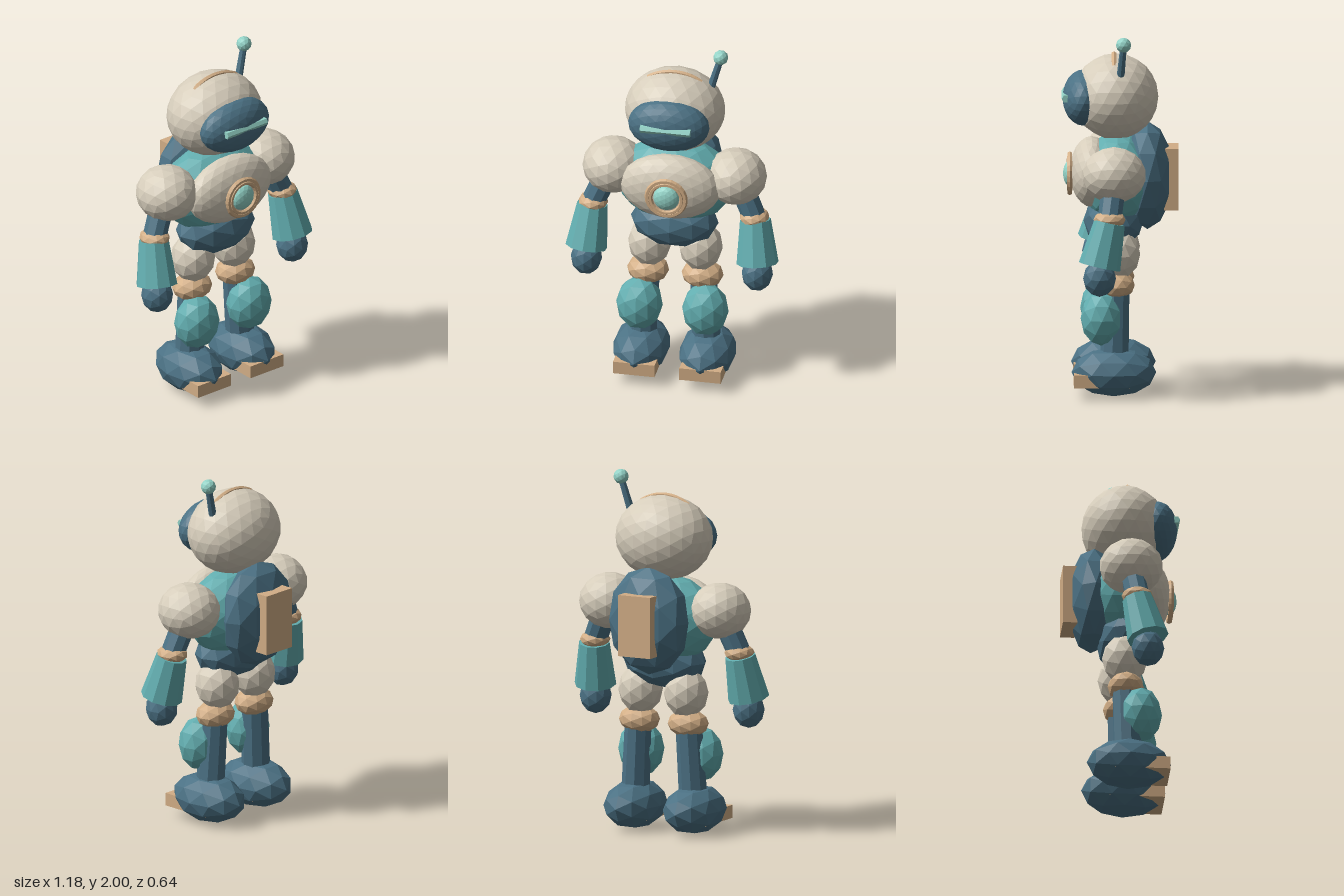
import * as THREE from 'three';

const makeMaterial = (name, color) => {
  const m = new THREE.MeshStandardMaterial({ color, flatShading: true });
  m.name = name;
  return m;
};

export function createModel() {
  const cream = makeMaterial('cream shell', 0xd6cdbb);
  const blue = makeMaterial('slate blue', 0x4b7184);
  const teal = makeMaterial('teal', 0x62adaf);
  const tan = makeMaterial('tan trim', 0xd2ae86);
  const mint = makeMaterial('pale mint', 0x93d3c7);

  const robot = new THREE.Group();
  robot.name = 'robot';

  const add = (parent, name, geometry, material, pos = [0, 0, 0]) => {
    const mesh = new THREE.Mesh(geometry, material);
    mesh.name = name;
    mesh.position.set(...pos);
    parent.add(mesh);
    return mesh;
  };
  // Faceted ellipsoid
  const blob = (parent, name, material, pos, radii, detail = 1) =>
    add(parent, name, new THREE.IcosahedronGeometry(1, detail).scale(...radii), material, pos);
  // Tapered rod between two points
  const rod = (parent, name, material, from, to, rFrom, rTo, sides) => {
    const a = new THREE.Vector3(...from), b = new THREE.Vector3(...to);
    const dir = b.clone().sub(a);
    const geometry = new THREE.CylinderGeometry(rTo, rFrom, dir.length(), sides);
    const mesh = add(parent, name, geometry, material, a.add(b).multiplyScalar(0.5).toArray());
    mesh.quaternion.setFromUnitVectors(new THREE.Vector3(0, 1, 0), dir.normalize());
    return mesh;
  };

  // Head with visor, crest and antenna
  const head = new THREE.Group();
  head.name = 'head';
  robot.add(head);
  blob(head, 'helmet', cream, [0, 1.637, 0.025], [0.278, 0.235, 0.235], 3);
  blob(head, 'visor', blue, [0, 1.63, 0.2], [0.227, 0.152, 0.115], 3);
  rod(head, 'eyeBar', mint, [-0.14, 1.645, 0.298], [0.14, 1.645, 0.298], 0.022, 0.022, 6);
  const crestArc = 1.2;
  const crest = add(head, 'crest', new THREE.TorusGeometry(0.26, 0.015, 6, 14, crestArc), tan, [0, 1.608, 0.033]);
  crest.rotation.z = (Math.PI - crestArc) / 2;
  rod(head, 'antennaRod', blue, [0.19, 1.76, 0], [0.246, 1.955, -0.018], 0.022, 0.018, 8);
  blob(head, 'antennaTip', mint, [0.246, 1.96, -0.018], [0.042, 0.042, 0.042], 1);

  // Torso, chest and pelvis
  const body = new THREE.Group();
  body.name = 'body';
  robot.add(body);
  blob(body, 'torso', teal, [0, 1.19, 0.015], [0.33, 0.25, 0.2], 2);
  blob(body, 'chestPlate', cream, [0, 1.22, 0.155], [0.28, 0.192, 0.12], 3);
  add(body, 'chestRingOuter', new THREE.TorusGeometry(0.106, 0.015, 6, 24), tan, [0, 1.21, 0.275]);
  add(body, 'chestRingInner', new THREE.TorusGeometry(0.088, 0.013, 6, 24), tan, [0, 1.21, 0.28]);
  blob(body, 'chestLight', mint, [0, 1.21, 0.27], [0.073, 0.073, 0.042], 2);
  blob(body, 'pelvis', blue, [0, 0.95, 0.035], [0.245, 0.15, 0.165]);

  // Backpack
  blob(body, 'backpack', blue, [0, 1.2, -0.15], [0.245, 0.3, 0.14]);
  add(body, 'backPanel', new THREE.BoxGeometry(0.2, 0.34, 0.08), tan, [0, 1.19, -0.28]);

  for (const [side, s] of [['left', 1], ['right', -1]]) {
    // Arm
    const arm = new THREE.Group();
    arm.name = side + 'Arm';
    robot.add(arm);
    rod(arm, 'upperArm', blue, [s * 0.37, 1.21, 0.035], [s * 0.452, 1.02, 0.06], 0.068, 0.066, 9);
    blob(arm, 'shoulder', cream, [s * 0.342, 1.255, 0.035], [0.17, 0.155, 0.175], 2);
    blob(arm, 'elbow', tan, [s * 0.45, 1.027, 0.06], [0.082, 0.05, 0.088]);
    rod(arm, 'forearm', teal, [s * 0.478, 0.77, 0.115], [s * 0.455, 1.01, 0.06], 0.116, 0.085, 10);
    blob(arm, 'hand', blue, [s * 0.477, 0.705, 0.115], [0.087, 0.103, 0.09]);

    // Leg
    const leg = new THREE.Group();
    leg.name = side + 'Leg';
    robot.add(leg);
    blob(leg, 'thigh', cream, [s * 0.142, 0.785, 0.015], [0.122, 0.14, 0.125]);
    blob(leg, 'knee', tan, [s * 0.152, 0.615, 0.02], [0.117, 0.078, 0.1]);
    rod(leg, 'lowerLeg', blue, [s * 0.18, 0.2, 0.03], [s * 0.158, 0.6, 0.02], 0.08, 0.075, 9);
    blob(leg, 'shinGuard', teal, [s * 0.184, 0.437, 0.1], [0.13, 0.155, 0.117]);
    blob(leg, 'foot', blue, [s * 0.185, 0.138, 0.035], [0.157, 0.135, 0.232]);
    add(leg, 'toePlate', new THREE.BoxGeometry(0.232, 0.072, 0.305), tan, [s * 0.185, 0.101, 0.102]);
  }
  return robot;
}
